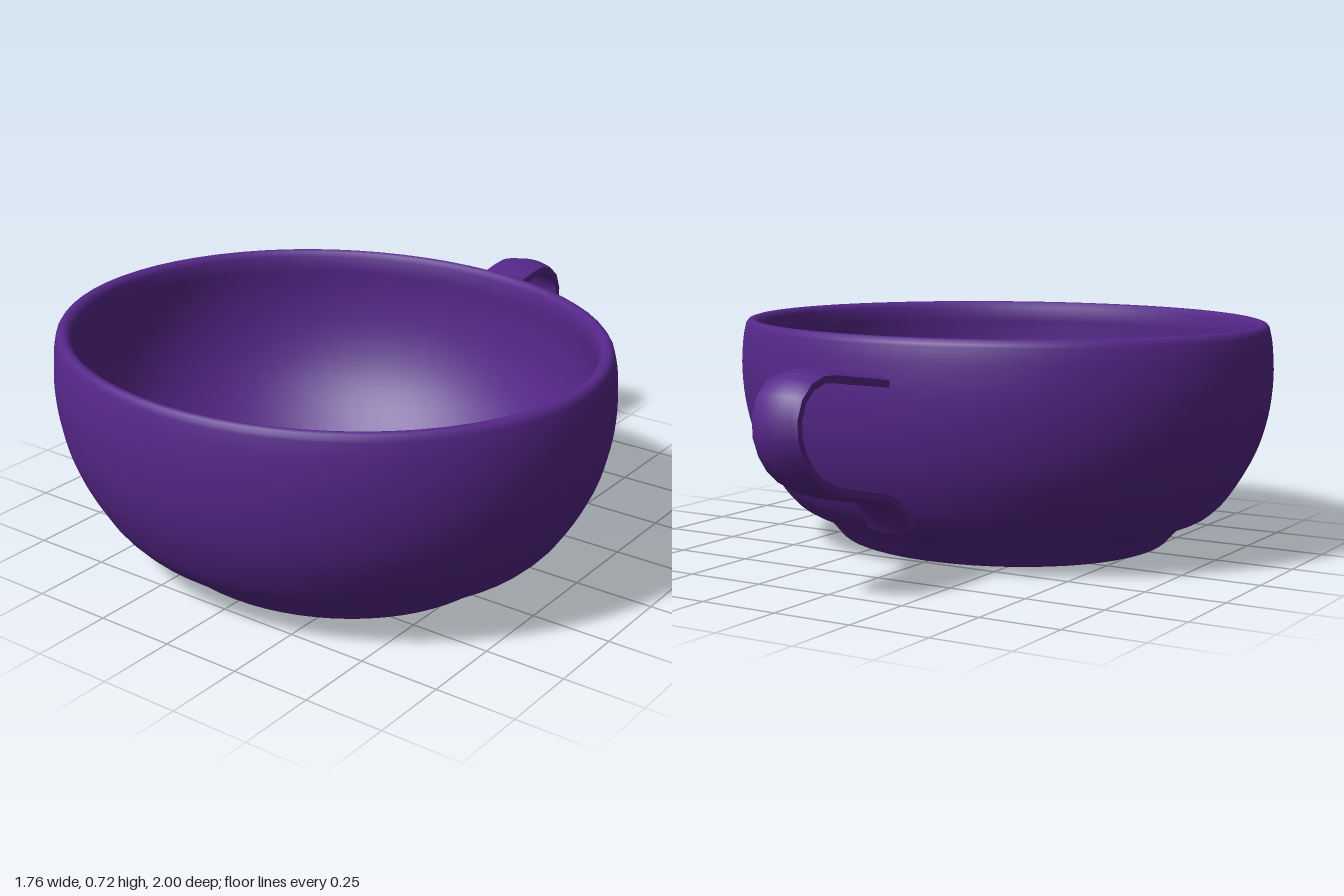
import * as THREE from 'three';
import { toCreasedNormals } from 'three/addons/utils/BufferGeometryUtils.js';

const glaze = new THREE.MeshStandardMaterial({ color: 0x56278a });

const vectors = (pairs) => pairs.map(([x, y]) => new THREE.Vector2(x, y));
const smooth = (pairs, count) => new THREE.SplineCurve(vectors(pairs)).getPoints(count);

function createBowl() {
  // Outer wall: flared foot running softly into the rounded belly
  const outside = smooth([[0.515, 0], [0.547, 0.014], [0.59, 0.06], [0.625, 0.085], [0.665, 0.099],
    [0.705, 0.125], [0.76, 0.187], [0.83, 0.31], [0.868, 0.43],
    [0.882, 0.55], [0.877, 0.65], [0.866, 0.705]], 44);
  // Rounded lip
  const lip = vectors([[0.858, 0.716], [0.845, 0.72], [0.83, 0.715], [0.82, 0.7]]);
  // Inner wall down to the flat floor
  const inside = smooth([[0.824, 0.65], [0.826, 0.55], [0.808, 0.43], [0.762, 0.31],
    [0.69, 0.205], [0.6, 0.115], [0.53, 0.067], [0.46, 0.05]], 24);
  const profile = [new THREE.Vector2(0, 0), ...outside, ...lip, ...inside, new THREE.Vector2(0, 0.05)];

  // The bowl is oval: narrower from front to back
  const geometry = new THREE.LatheGeometry(profile, 64);
  geometry.scale(1, 1, 0.88);
  const bowl = new THREE.Mesh(toCreasedNormals(geometry, 0.75), glaze);
  bowl.name = 'bowl';
  bowl.position.z = 0.225;
  return bowl;
}

function createHandle() {
  // Loop of the handle in side view, as [z, y]
  const path = new THREE.CatmullRomCurve3([
    [-0.525, 0.587], [-0.7, 0.614], [-0.87, 0.632], [-0.935, 0.605], [-0.973, 0.555],
    [-0.98, 0.49], [-0.957, 0.425], [-0.905, 0.363], [-0.83, 0.318], [-0.7, 0.283],
    [-0.55, 0.247], [-0.485, 0.21], [-0.43, 0.135],
  ].map(([z, y]) => new THREE.Vector3(0, y, z)));

  // Strap section: domed on the outside, flat on the inside
  const section = new THREE.Shape();
  section.moveTo(-0.077, -0.015);
  section.lineTo(0.077, -0.015);
  section.lineTo(0.077, 0.006);
  section.quadraticCurveTo(0, 0.034, -0.077, 0.006);
  section.closePath();

  const geometry = new THREE.ExtrudeGeometry(section, { steps: 22, curveSegments: 8, extrudePath: path });
  const handle = new THREE.Mesh(toCreasedNormals(geometry, 0.75), glaze);
  handle.name = 'handle';
  return handle;
}

export function createModel() {
  const cup = new THREE.Group();
  cup.name = 'cup';
  cup.add(createBowl(), createHandle());
  return cup;
}
